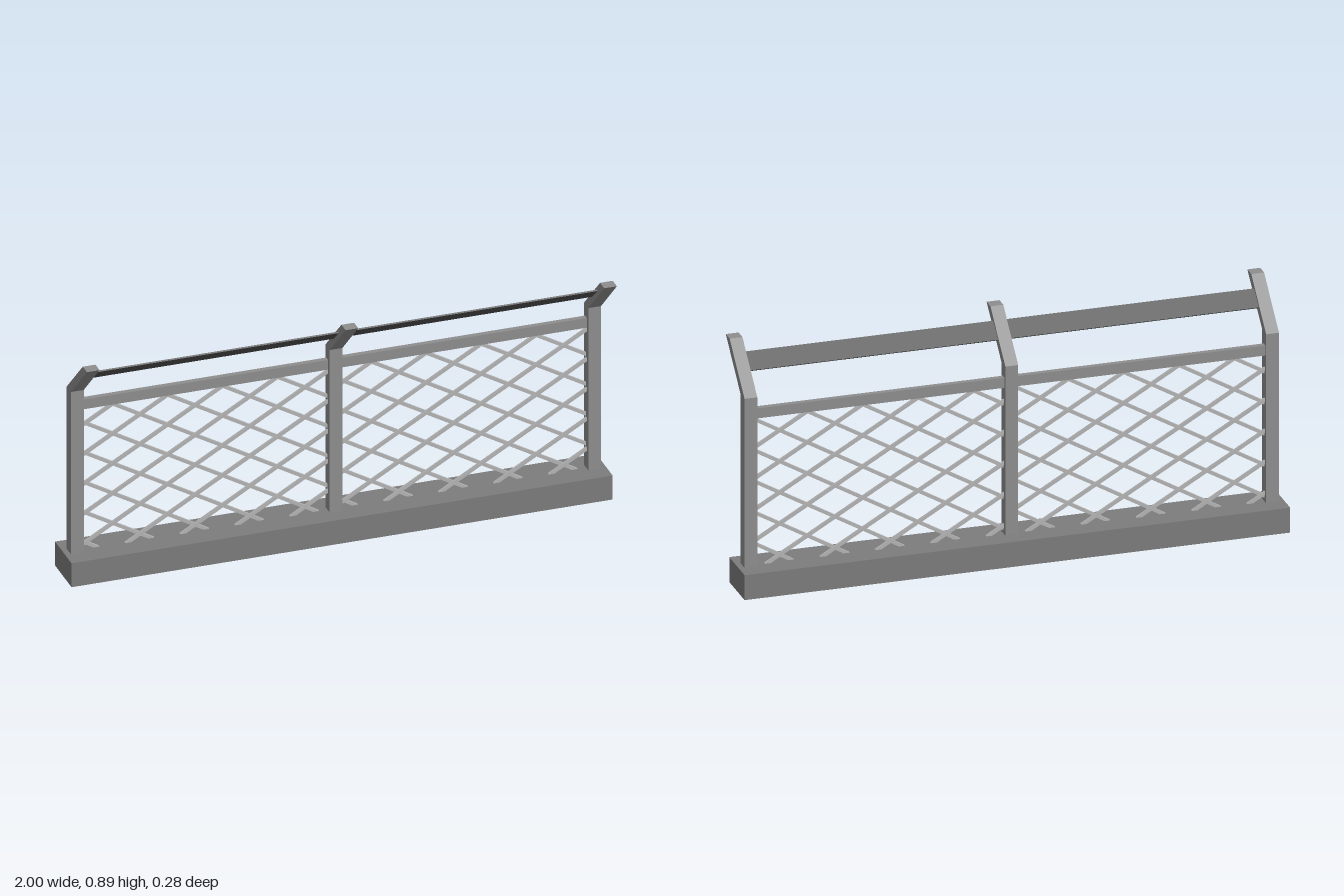
import * as THREE from 'three';

const paint = color => new THREE.MeshStandardMaterial({ color, flatShading: true });
const concrete = paint(0x7c7c7c), steel = paint(0x8e8e8e), darkBoard = paint(0x505050), wireGrey = paint(0xb4b4b4);

export function createModel() {
  const model = new THREE.Group();
  const postX = [-0.956, 0, 0.956], postWidth = 0.047;

  function add(geometry, material, name, x, y, z, parent = model) {
    const mesh = new THREE.Mesh(geometry, material);
    mesh.name = name;
    mesh.position.set(x, y, z);
    parent.add(mesh);
    return mesh;
  }

  // Extrude a [z, y] outline along x, centred on the given x
  function profile(points, width, material, name, x) {
    const shape = new THREE.Shape(points.map(([z, y]) => new THREE.Vector2(-z, y)));
    const geometry = new THREE.ExtrudeGeometry(shape, { depth: width, bevelEnabled: false });
    geometry.translate(0, 0, -width / 2).rotateY(Math.PI / 2);
    add(geometry, material, name, x, 0, 0);
  }

  // Concrete footing
  add(new THREE.BoxGeometry(2, 0.094, 0.174), concrete, 'base', 0, 0.047, -0.051);

  // Posts with arms leaning forward
  for (const x of postX) {
    profile([[-0.028, 0.09], [-0.028, 0.733], [0.139, 0.893], [0.095, 0.893],
      [-0.074, 0.732], [-0.074, 0.09]], postWidth, steel, 'post', x);
  }

  // Wire run clipped to the panel rectangle
  const half = 0.46, bottom = 0.09, top = 0.66;
  const pitch = 0.203, slope = 0.578, apexX = -0.342, apexY = 0.648;
  function addWire(panel, startX, sign) {
    const xAt = y => startX + sign * (y - apexY) / slope;
    const ends = [xAt(bottom), xAt(top)];
    const x0 = Math.max(-half, Math.min(...ends));
    const x1 = Math.min(half, Math.max(...ends));
    if (x1 - x0 < 0.01) return;
    const yAt = x => apexY + sign * (x - startX) * slope;
    const length = Math.hypot(x1 - x0, yAt(x1) - yAt(x0));
    const wire = add(new THREE.BoxGeometry(length, 0.012, 0.01), wireGrey, 'meshWire',
      (x0 + x1) / 2, (yAt(x0) + yAt(x1)) / 2, -0.053 + sign * 0.003, panel);
    wire.rotation.z = sign * Math.atan(slope);
  }

  // Two bays between the posts
  for (const side of [-1, 1]) {
    const x = side * 0.478, span = 0.956 - postWidth + 0.01;
    add(new THREE.BoxGeometry(span, 0.038, 0.02), steel, 'topRail', x, 0.667, -0.054);

    // Thin slanted board between the arms
    profile([[0.008, 0.801], [0.012, 0.797], [0.068, 0.847], [0.064, 0.851]],
      span, darkBoard, 'slantedBoard', x);

    const panel = new THREE.Group();
    panel.name = 'meshPanel';
    panel.position.x = x;
    for (let i = -8; i <= 12; i++) {
      addWire(panel, apexX + i * pitch, 1);
      addWire(panel, apexX + i * pitch, -1);
    }
    model.add(panel);
  }
  return model;
}
